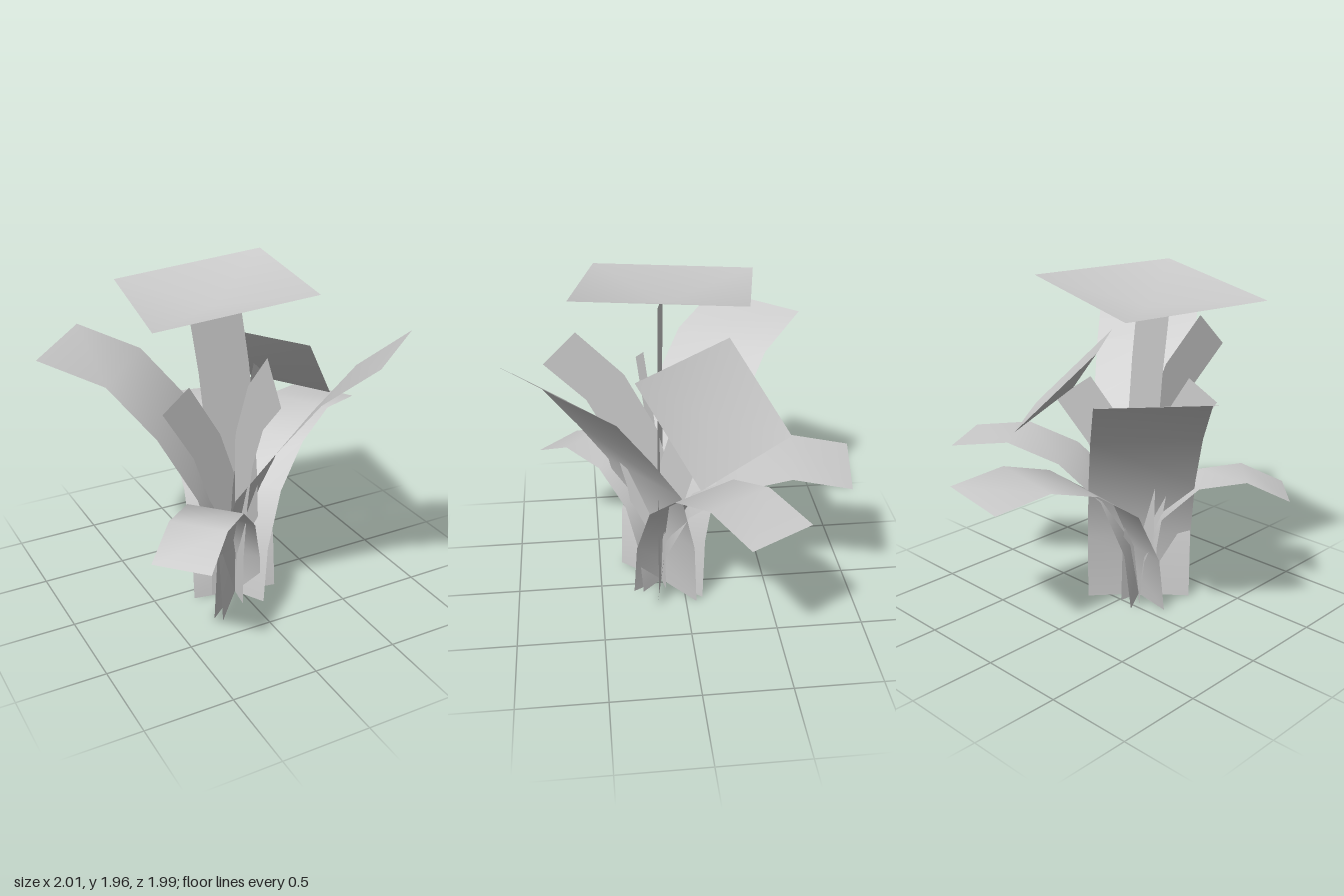
import * as THREE from 'three';

const BASE = new THREE.Vector3(-0.03, 0, 0.13);

function surface(name, points, index) {
  const geo = new THREE.BufferGeometry().setFromPoints(points);
  geo.setIndex(index);
  geo.computeVertexNormals();
  const mat = new THREE.MeshStandardMaterial({ color: 0xcccccc, side: THREE.DoubleSide });
  const mesh = new THREE.Mesh(geo, mat);
  mesh.name = name;
  return mesh;
}

// Bent ribbon following a profile of [outward, height] pairs along a ground direction.
// Leaves are wide across the bend; stems are wide within the plane of the bend.
function ribbon(name, [dx, dz], profile, width, inPlane) {
  const out = new THREE.Vector3(dx, 0, dz).normalize();
  const up = new THREE.Vector3(0, 1, 0);
  const across = new THREE.Vector3().crossVectors(up, out);
  const points = [], index = [];
  profile.forEach(([r, y], i) => {
    const a = profile[Math.max(i - 1, 0)];
    const b = profile[Math.min(i + 1, profile.length - 1)];
    const side = across.clone();
    if (inPlane) {
      const level = i === 0; // stems start flat on the ground
      side.copy(out).multiplyScalar(level ? 1 : b[1] - a[1]);
      if (!level) side.addScaledVector(up, a[0] - b[0]);
      side.normalize();
    }
    const mid = BASE.clone().addScaledVector(out, r).addScaledVector(up, y);
    points.push(mid.clone().addScaledVector(side, -width / 2), mid.clone().addScaledVector(side, width / 2));
    if (i) {
      const k = 2 * i;
      index.push(k - 2, k - 1, k, k - 1, k + 1, k);
    }
  });
  return surface(name, points, index);
}

// Shallow four-sided cup: four corners around a sunken centre
function flower(name, corners, centre) {
  const points = [...corners, centre].map((p) => new THREE.Vector3(...p));
  return surface(name, points, [0, 1, 4, 1, 2, 4, 2, 3, 4, 3, 0, 4]);
}

export function createModel() {
  const plant = new THREE.Group();
  plant.name = 'plant';

  // Broad arching leaves
  const leaves = [
    ['tallFrontLeaf', [0.634, 0.774], 0.607, [[0, 0], [0.02, 0.4], [0.13, 0.8], [0.35, 1.12], [0.59, 1.44], [0.88, 1.68]]],
    ['tallBackLeaf', [-0.758, -0.652], 0.613, [[0, 0], [0.02, 0.4], [0.14, 0.77], [0.36, 1.11], [0.635, 1.39], [1.02, 1.51]]],
    ['lowBackLeaf', [0.179, -0.984], 0.503, [[0, 0], [0.04, 0.33], [0.19, 0.64], [0.46, 0.83], [0.76, 0.92], [1.09, 0.875]]],
    ['lowSideLeaf', [0.865, -0.5], 0.4, [[0, 0], [0.04, 0.34], [0.18, 0.66], [0.43, 0.875], [0.736, 0.98], [1.083, 0.932]]],
    ['lowFrontLeaf', [-0.723, 0.692], 0.325, [[0, 0], [0.03, 0.29], [0.13, 0.56], [0.34, 0.75], [0.61, 0.79], [0.86, 0.675]]],
  ];
  for (const [name, dir, width, profile] of leaves) plant.add(ribbon(name, dir, profile, width, false));

  // Flat upright stems
  const stems = [
    ['tallStem', [-0.98, -0.18], 0.285, [[0, 0], [0, 0.4], [0.01, 0.75], [0.03, 1.1], [0.065, 1.45], [0.115, 1.795]]],
    ['frontStem', [-0.13, 0.99], 0.27, [[0, 0], [0.01, 0.35], [0.06, 0.7], [0.14, 1.02], [0.3, 1.33], [0.545, 1.565]]],
    ['sideStem', [-0.98, 0.2], 0.207, [[0, 0], [0.02, 0.35], [0.08, 0.7], [0.2, 1.03], [0.403, 1.355]]],
    ['flowerStem', [0.764, -0.645], 0.24, [[0, 0], [0.02, 0.35], [0.08, 0.7], [0.19, 1.02], [0.38, 1.3]]],
  ];
  for (const [name, dir, width, profile] of stems) plant.add(ribbon(name, dir, profile, width, true));

  // Flowers
  plant.add(flower('topFlower',
    [[0.19, 1.955, 0.61], [0.355, 1.955, -0.3], [-0.48, 1.845, -0.455], [-0.65, 1.845, 0.455]],
    [-0.13, 1.795, 0.08]));
  plant.add(flower('sideFlower',
    [[0.345, 1.555, 0.285], [0.69, 1.1, -0.02], [0.25, 1.14, -0.575], [-0.09, 1.59, -0.27]],
    [0.26, 1.3, -0.115]));
  return plant;
}
